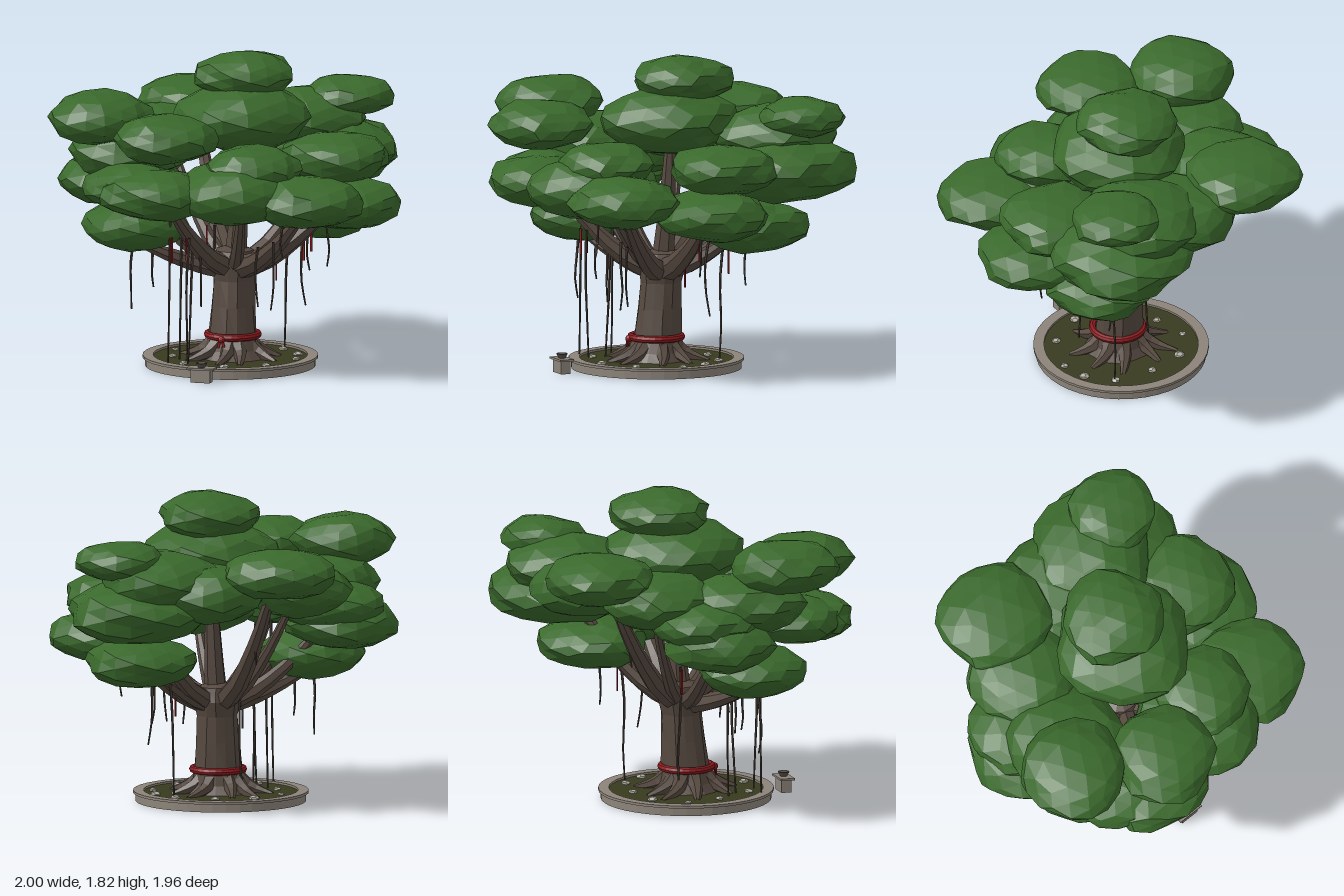
import * as THREE from 'three';

const mat = (name, color, extra = {}) => {
  const m = new THREE.MeshStandardMaterial({ color, flatShading: true, ...extra });
  m.name = name;
  return m;
};

export function createModel() {
  const leaf = mat('leaf green', 0x3a692c);
  const bark = mat('bark brown', 0x564940, { side: THREE.DoubleSide });
  const hanging = mat('aerial root brown', 0x4a4038, { side: THREE.DoubleSide });
  const stone = mat('stone grey', 0x8c847a);
  const soil = mat('mossy soil', 0x383a1f);
  const red = mat('red cloth', 0x8c1a1e);
  const pebble = mat('pale pebble', 0xb2aea2);
  const clay = mat('dark clay', 0x55504a, { side: THREE.DoubleSide });

  const model = new THREE.Group();
  model.name = 'banyanTree';
  const group = (name) => {
    const g = new THREE.Group();
    g.name = name;
    model.add(g);
    return g;
  };
  const add = (parent, name, geometry, material, x = 0, y = 0, z = 0) => {
    const m = new THREE.Mesh(geometry, material);
    m.name = name;
    m.position.set(x, y, z);
    parent.add(m);
    return m;
  };
  const lathe = (pts, sides) => new THREE.LatheGeometry(pts.map((p) => new THREE.Vector2(...p)), sides);
  let seed = 7;
  const rand = () => (seed = (seed * 16807) % 2147483647) / 2147483647;

  // Tube along points, tapering from radius r0 to r1
  const taper = (pts, r0, r1, steps = 7, sides = 7) => {
    const curve = new THREE.CatmullRomCurve3(pts.map((p) => new THREE.Vector3(...p)));
    const geo = new THREE.TubeGeometry(curve, steps, 1, sides);
    const pos = geo.attributes.position;
    const v = new THREE.Vector3();
    for (let i = 0; i < pos.count; i++) {
      const t = Math.floor(i / (sides + 1)) / steps;
      const c = curve.getPointAt(t);
      v.fromBufferAttribute(pos, i).sub(c).multiplyScalar(r0 + (r1 - r0) * t).add(c);
      pos.setXYZ(i, v.x, v.y, v.z);
    }
    return geo;
  };

  // Round planter: stone ring with a lip, filled with soil
  const cx = 0.025, cz = 0.03;
  const ring = [[0.445, 0], [0.492, 0], [0.492, 0.045], [0.506, 0.047], [0.506, 0.062], [0.445, 0.062], [0.445, 0]];
  add(model, 'planterRing', lathe(ring, 40), stone, cx, 0, cz);
  add(model, 'soilBed', new THREE.CylinderGeometry(0.45, 0.45, 0.03, 40), soil, cx, 0.035, cz);

  // Pebbles scattered over the soil
  const pebbles = group('pebbles');
  for (let i = 0; i < 10; i++) {
    const a = i * 0.628 + rand() * 0.4, d = 0.31 + rand() * 0.09;
    const p = add(pebbles, 'pebble', new THREE.DodecahedronGeometry(0.02 + rand() * 0.012), pebble,
      cx + d * Math.cos(a), 0.055, cz + d * Math.sin(a));
    p.scale.y = 0.55;
    p.rotation.y = a * 3;
  }

  // Trunk with fluted sides, leaning slightly
  const trunk = lathe([[0.2, 0.04], [0.16, 0.1], [0.139, 0.17], [0.126, 0.35], [0.118, 0.5],
    [0.135, 0.59], [0.11, 0.67], [0.001, 0.71]], 14);
  const tp = trunk.attributes.position;
  for (let i = 0; i < tp.count; i++) {
    const x = tp.getX(i), y = tp.getY(i), z = tp.getZ(i);
    const k = 1 + 0.05 * Math.sin(5 * Math.atan2(z, x) + y * 4);
    tp.setXYZ(i, x * k + 0.04, y, z * k + 0.045 - y * 0.07);
  }
  add(model, 'trunk', trunk, bark);

  // Buttress roots spreading over the soil
  const roots = group('buttressRoots');
  for (let i = 0; i < 9; i++) {
    const a = (i / 9) * Math.PI * 2 + rand() * 0.35, len = 0.27 + rand() * 0.08;
    const at = (d, y, turn = 0) => [0.035 + d * Math.cos(a + turn), y, 0.04 + d * Math.sin(a + turn)];
    add(roots, 'root', taper([at(0.09, 0.15), at(0.16, 0.095), at(0.23, 0.065, 0.08), at(len, 0.045, 0.15)], 0.055, 0.014, 5, 6), bark);
  }

  // Limbs sweep outward, then up, from the trunk top to a tip: x, y, z, thickness
  const limbs = group('limbs');
  [
    [-0.46, 0.74, 0.28, 0.07], [0.62, 0.96, -0.05, 0.08], [0.58, 0.98, 0.46, 0.075],
    [-0.22, 1.05, 0.55, 0.07], [0.42, 0.86, -0.36, 0.065], [-0.34, 1.35, -0.56, 0.07],
    [-0.58, 1.04, 0.02, 0.06], [0.08, 1.42, -0.04, 0.07], [0.45, 1.2, -0.56, 0.06],
    [0.22, 1.1, 0.46, 0.05], [-0.58, 1.42, 0.36, 0.05], [-0.45, 1.27, -0.33, 0.05],
  ].forEach(([x, y, z, r]) => {
    const path = [0, 0.3, 0.65, 1].map((t) => [0.04 + (x - 0.04) * t, 0.56 + (y - 0.56) * t ** 1.6, 0.01 + (z - 0.01) * t]);
    add(limbs, 'limb', taper(path, r, r * 0.35), bark);
  });

  // Foliage clumps, flattened and lumpy: x, y, z, radius
  const foliage = group('foliage');
  [
    [0.08, 1.68, -0.1, 0.29], [0.08, 1.45, -0.02, 0.4], [-0.65, 1.48, 0.4, 0.31],
    [-0.18, 1.42, 0.66, 0.3], [0.54, 1.485, -0.67, 0.25], [-0.38, 1.42, -0.63, 0.32],
    [0.45, 1.18, -0.59, 0.4], [0.3, 1.36, -0.58, 0.36], [-0.45, 1.29, -0.3, 0.33],
    [-0.53, 1.26, 0.2, 0.35], [-0.68, 1.05, 0, 0.32], [-0.62, 1.17, -0.08, 0.31],
    [-0.25, 1.09, 0.64, 0.31], [-0.42, 1.11, 0.54, 0.28], [0.2, 1.1, 0.5, 0.38],
    [0.28, 1.23, 0.45, 0.28], [0.61, 1.06, 0.48, 0.32], [0.67, 0.965, -0.05, 0.33],
    [0.6, 1.22, -0.14, 0.31], [0.45, 0.86, -0.38, 0.32], [-0.48, 0.84, 0.27, 0.31],
    [0.04, 1.29, -0.57, 0.34],
  ].forEach(([x, y, z, r], n) => {
    const g = new THREE.IcosahedronGeometry(1, 2);
    const p = g.attributes.position;
    for (let i = 0; i < p.count; i++) {
      const a = p.getX(i), b = p.getY(i), c = p.getZ(i);
      const k = r * (1 + 0.035 * Math.sin(4.1 * a + n) + 0.03 * Math.sin(5.3 * c + 2 * n)
        + 0.03 * Math.sin(7 * b + 6 * a * c + n) + 0.025 * Math.sin(17 * a + 13 * b + 19 * c + n));
      p.setXYZ(i, a * k, b * k * 0.47, c * k);
    }
    g.computeVertexNormals();
    add(foliage, 'leafClump', g, leaf, x, y, z);
  });

  // Aerial roots: x, z, top, bottom
  const aerial = group('aerialRoots');
  [
    [-0.49, 0.31, 0.74, 0.35], [-0.38, 0.24, 0.7, 0.47], [-0.23, 0.2, 0.85, 0.05], [-0.24, 0.4, 1, 0.06],
    [-0.12, 0.4, 0.8, 0.06], [-0.15, 0.26, 0.7, 0.05], [-0.1, -0.05, 0.8, 0.05], [-0.08, 0.3, 0.75, 0.38],
    [0.28, -0.27, 0.76, 0.05], [0.27, 0.31, 0.75, 0.4], [0.38, -0.38, 0.82, 0.5], [0.42, -0.12, 0.8, 0.34],
    [0.38, 0.4, 0.8, 0.4], [0.6, 0, 0.94, 0.6], [0.49, 0.6, 1, 0.75], [-0.22, -0.38, 1.1, 0.85],
  ].forEach(([x, z, top, bottom]) => {
    const wave = () => (rand() - 0.5) * 0.025;
    const path = [0, 0.35, 0.7, 1].map((t) => [x + wave(), top + (bottom - top) * t, z + wave()]);
    add(aerial, 'aerialRoot', taper(path, 0.009, 0.005, 7, 5), hanging);
  });

  // Red rope round the trunk, its bow and the ribbons on the limbs
  const rope = add(model, 'redRope', new THREE.TorusGeometry(0.146, 0.021, 8, 28), red, 0.042, 0.183, 0.038);
  rope.rotation.x = Math.PI / 2;
  const bow = group('ropeBow');
  add(bow, 'bowKnot', new THREE.IcosahedronGeometry(0.022, 1), red, 0.02, 0.175, 0.2);
  for (const s of [-1, 1]) {
    add(bow, 'bowTail', new THREE.BoxGeometry(0.014, 0.05, 0.006), red, 0.02 + s * 0.012, 0.15, 0.207).rotation.z = s * 0.3;
  }
  const ribbons = group('ribbons');
  [[0.49, -0.04, 0.75], [-0.13, 0.4, 0.74], [0.28, -0.04, 0.57], [0.38, -0.27, 0.65],
    [-0.22, 0.4, 0.72], [-0.14, -0.05, 0.72]].forEach(([x, z, y], i) => {
    add(ribbons, 'ribbon', new THREE.BoxGeometry(0.012, 0.15, 0.008), red, x, y, z).rotation.y = i;
  });

  // Small offering stand with a bowl, in front of the planter
  const stand = group('offeringStand');
  add(stand, 'standBlock', new THREE.BoxGeometry(0.115, 0.075, 0.06), stone, 0.02, 0.0375, 0.62);
  add(stand, 'standSlab', new THREE.BoxGeometry(0.16, 0.012, 0.085), stone, 0.02, 0.081, 0.62);
  add(stand, 'bowl', lathe([[0.001, 0], [0.02, 0], [0.034, 0.026], [0.03, 0.028], [0.001, 0.018]], 12), clay, 0.02, 0.087, 0.62);

  return model;
}
